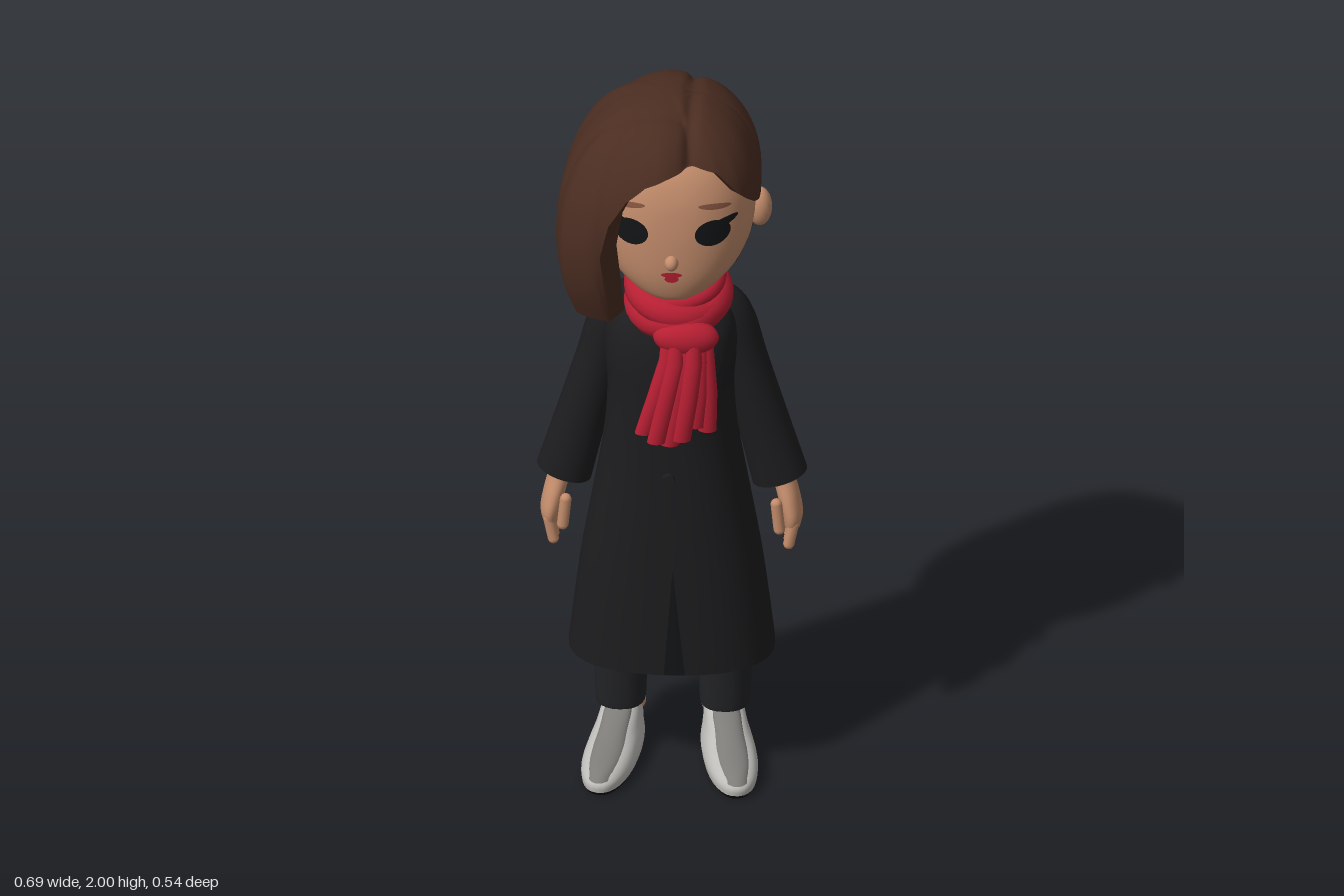
import * as THREE from 'three';

const mat = (name, color) => {
  const m = new THREE.MeshStandardMaterial({ color, side: THREE.DoubleSide });
  m.name = name;
  return m;
};
const M = {
  skin: mat('skin', 0xc48d6c), hair: mat('hairBrown', 0x4b2d21), coat: mat('coatBlack', 0x1d1d1f),
  trousers: mat('trouserCharcoal', 0x222326), scarf: mat('scarfRed', 0xb81f33), shoe: mat('shoeWhite', 0xbfbdb9),
  vamp: mat('shoeGrey', 0x7e7c79), black: mat('black', 0x121416), brow: mat('browBrown', 0x85543f),
};

// Smooths rows of numbers with a Catmull-Rom curve, k steps per span
function smooth(rows, k = 4) {
  const out = [], n = rows.length;
  const at = i => rows[Math.min(n - 1, Math.max(0, i))];
  for (let i = 0; i < n - 1; i++) for (let s = 0; s < k; s++) {
    const t = s / k, [a, b, c, d] = [at(i - 1), at(i), at(i + 1), at(i + 2)];
    out.push(b.map((v, j) => v + 0.5 * t * (c[j] - a[j] + t * (2 * a[j] - 5 * v + 4 * c[j] - d[j] + t * (3 * (v - c[j]) + d[j] - a[j])))));
  }
  out.push(rows[n - 1]);
  return out;
}

// Rows [y, halfWidth, zFront, zBack] become [y, cx, halfWidth, cz, halfDepth]
const body = (rows, cx) => smooth(rows.map(([y, w, f, b]) => [y, cx, w, (f + b) / 2, (f - b) / 2]));

function geometry(pos, idx) {
  const g = new THREE.BufferGeometry();
  g.setAttribute('position', new THREE.Float32BufferAttribute(pos, 3));
  g.setIndex(idx);
  g.computeVertexNormals();
  return g;
}

// Stacks superellipse sections [y, cx, halfWidth, cz, halfDepth, tilt] from bottom to top, with flat caps
function loft(rows, n = 24, p = 2) {
  const pos = [], idx = [], sp = v => Math.sign(v) * Math.abs(v) ** (2 / p);
  const ring = ([y, cx, w, cz, d, tilt = 0]) => {
    for (let j = 0; j < n; j++) {
      const a = (j / n) * Math.PI * 2, dx = w * sp(Math.sin(a));
      pos.push(cx + dx, y + tilt * dx, cz + d * sp(Math.cos(a)));
    }
  };
  rows.forEach(ring);
  for (let i = 0; i < rows.length - 1; i++) for (let j = 0; j < n; j++) {
    const a = i * n + j, b = i * n + (j + 1) % n;
    idx.push(a, b, b + n, a, b + n, a + n);
  }
  for (const [row, up] of [[rows[0], 0], [rows[rows.length - 1], 1]]) {
    const base = pos.length / 3;
    ring(row);
    pos.push(row[1], row[0], row[3]);
    for (let j = 0; j < n; j++) {
      const a = base + j, b = base + (j + 1) % n;
      idx.push(base + n, up ? a : b, up ? b : a);
    }
  }
  return geometry(pos, idx);
}

// Front surface height z at (x, y) of a loft
const frontOf = (rows, p) => (x, y) => {
  let i = 0;
  while (i < rows.length - 2 && rows[i + 1][0] < y) i++;
  const a = rows[i], b = rows[i + 1], t = Math.min(1, Math.max(0, (y - a[0]) / (b[0] - a[0])));
  const [, cx, w, cz, d] = a.map((v, j) => v + (b[j] - v) * t);
  return cz + d * Math.max(0, 1 - Math.abs((x - cx) / w) ** p) ** (1 / p);
};

// Thin oval laid on a surface
function oval(surf, x, y, rx, ry, rot = 0, off = 0.004) {
  const g = new THREE.RingGeometry(0.001, 1, 28, 5).scale(rx, ry, 1).rotateZ(rot).translate(x, y, 0);
  const q = g.attributes.position;
  for (let i = 0; i < q.count; i++) q.setZ(i, surf(q.getX(i), q.getY(i)) + off);
  g.computeVertexNormals();
  return g;
}

// Thin panel between two [x, y] edges laid on a surface
function panel(surf, left, right, off) {
  const L = smooth(left, 3), R = smooth(right, 3), pos = [], idx = [], c = 6;
  L.forEach((l, i) => {
    for (let j = 0; j <= c; j++) {
      const x = l[0] + (R[i][0] - l[0]) * j / c, y = l[1] + (R[i][1] - l[1]) * j / c;
      pos.push(x, y, surf(x, y) + off);
      if (i && j) { const d = i * (c + 1) + j, b = d - c - 1; idx.push(b - 1, d - 1, d, b - 1, d, b); }
    }
  });
  return geometry(pos, idx);
}

// [degrees from front towards +x, radius, lower edge height]
const HAIR = [[-180, .276, 1.46], [-162, .265, 1.46], [-140, .245, 1.46], [-116, .273, 1.46], [-90, .266, 1.44],
  [-66, .292, 1.42], [-52, .322, 1.42], [-36, .312, 1.42], [-31, .305, 1.42], [-30, .304, 1.64], [-26, .3, 1.74],
  [-18, .292, 1.81], [-8, .284, 1.85], [5, .272, 1.87], [18, .25, 1.88], [25, .24, 1.88], [38, .262, 1.86], [50, .267, 1.79],
  [65, .262, 1.735], [82, .25, 1.7], [96, .25, 1.7], [97, .25, 1.47], [119, .268, 1.46], [135, .28, 1.46],
  [154, .277, 1.46], [180, .276, 1.46]];

function hairGeometry() {
  const n = 180, rows = 32, pos = [], idx = [], low = [];
  const bump = (v, w) => Math.exp(-((v / w) ** 2));
  for (let j = 0; j <= n; j++) {
    const deg = -180 + j * 2, a = deg * Math.PI / 180;
    let k = 0;
    while (k < HAIR.length - 2 && HAIR[k + 1][0] < deg) k++;
    const A = HAIR[k], B = HAIR[k + 1], m = (deg - A[0]) / (B[0] - A[0]);
    const R = A[1] + (B[1] - A[1]) * m, yb = A[2] + (B[2] - A[2]) * m;
    const yc = 1.73 - 0.13 * Math.max(0, -Math.sin(a));
    for (let i = 0; i <= rows; i++) {
      let y = 2 - (2 - yb) * (i / rows) ** 2;
      const u = (y - yc) / (2 - yc);
      const f = u > 0 ? Math.max(0, 1 - u ** 2.2) ** (1 / 2.2) : 1 - 0.3 * ((yc - y) / 0.28) ** 2;
      let x = R * f * Math.sin(a), z = R * f * Math.cos(a);
      // parting groove and fringe crease
      let s = 1 - 0.045 * bump(x - 0.075, 0.015);
      if (x < 0.06) s -= 0.025 * bump(z - 0.11, 0.016) * Math.min(1, Math.max(0, (y - 1.7) / 0.15));
      y = i === rows ? y : 1.7 + (y - 1.7) * s;
      pos.push(x * s - 0.02, y, z * s);
    }
    // rim turning inwards under the edge
    const e = pos.length - 3, q = yb < 1.5 && Math.abs(deg) > 60 ? 0.5 : 0.74;
    low.push(yb < 1.5);
    pos.push(pos[e], pos[e + 1], pos[e + 2], (pos[e] + 0.02) * q - 0.02, yb + 0.004, pos[e + 2] * q);
  }
  const w = rows + 3, rim = [[], []];
  for (let j = 0; j < n; j++) {
    for (let i = 0; i < rows; i++) {
      const a = j * w + i, b = a + w;
      idx.push(a, a + 1, b + 1, a, b + 1, b);
    }
    const a = j * w + rows + 1, b = a + w;
    rim[low[j] && low[j + 1] ? 1 : 0].push(a, a + 1, b + 1, a, b + 1, b);
  }
  const g = geometry(pos, [...idx, ...rim[0], ...rim[1]]);
  g.addGroup(0, idx.length + rim[0].length, 0);
  g.addGroup(idx.length + rim[0].length, rim[1].length, 1);
  return g;
}

export function createModel() {
  const root = new THREE.Group();
  root.name = 'figure';
  const add = (name, geo, material, parent = root) => {
    const m = new THREE.Mesh(geo, material);
    m.name = name;
    parent.add(m);
    return m;
  };
  const ball = (x, y, z, rx, ry, rz) => new THREE.SphereGeometry(1, 20, 14).scale(rx, ry, rz).translate(x, y, z);

  // Head and face
  const headRows = body([[1.46, .03, .15, .06], [1.475, .07, .18, .02], [1.5, .115, .195, -.03], [1.55, .165, .208, -.1],
    [1.62, .198, .214, -.15], [1.7, .207, .214, -.17], [1.78, .2, .205, -.17], [1.85, .17, .178, -.15],
    [1.9, .12, .125, -.1], [1.93, .03, .04, -.03]], 0.01);
  const face = frontOf(headRows, 2.2);
  add('head', loft(headRows, 48, 2.2), M.skin);
  add('neck', new THREE.CylinderGeometry(0.06, 0.07, 0.16, 20).translate(0.01, 1.43, 0), M.skin);
  add('nose', ball(0.01, 1.605, 0.212, 0.018, 0.022, 0.022), M.skin);
  add('upperLip', oval(face, 0.01, 1.569, 0.027, 0.008), M.scarf);
  add('lowerLip', oval(face, 0.01, 1.556, 0.018, 0.011), M.scarf);
  for (const s of [-1, 1]) {
    const x = 0.01 + s * 0.105;
    add('eye', oval(face, x, 1.688, 0.045, 0.037), M.black);
    add('lashes', oval(face, x + s * 0.022, 1.712, 0.042, 0.012, s * 0.25, 0.006), M.black);
    add('eyebrow', oval(face, x + s * 0.005, 1.762, 0.042, 0.008, -s * 0.15), M.brow);
    add('ear', ball(0.01 + s * 0.215, 1.64, -0.025, 0.032, 0.055, 0.032), M.skin);
  }
  add('hair', hairGeometry(), [M.hair, M.scarf]);

  // Coat with lapels, front edge, slit, pockets and button
  const coatRows = body([[.34, .265, .16, -.203], [.6, .235, .16, -.172], [.8, .203, .16, -.152], [1, .172, .16, -.12],
    [1.15, .163, .163, -.112], [1.25, .17, .163, -.116], [1.33, .168, .15, -.115], [1.38, .145, .125, -.102],
    [1.42, .1, .09, -.085], [1.44, .07, .06, -.07]], 0);
  const chest = frontOf(coatRows, 2.4);
  add('coat', loft(coatRows, 48, 2.4), M.coat);
  for (const s of [-1, 1]) {
    const flip = pts => pts.map(([x, y]) => [x * s, y]);
    add('lapel', panel(chest, flip([[.03, 1.08], [.05, 1.2], [.06, 1.3], [.06, 1.36]]),
      flip([[.035, 1.08], [.105, 1.2], [.14, 1.28], [.1, 1.33]]), 0.009), M.coat);
    add('collar', panel(chest, flip([[.05, 1.31], [.05, 1.36], [.05, 1.4]]),
      flip([[.12, 1.325], [.14, 1.345], [.09, 1.4]]), 0.009), M.coat);
    add('pocketFlap', panel(chest, flip([[.08, .86], [.08, .885]]), flip([[.16, .88], [.16, .905]]), 0.007), M.coat);
  }
  add('frontFlap', panel(chest, [[-.1, .345], [-.09, .65], [-.07, 1], [-.05, 1.2]],
    [[-.012, .345], [.01, .65], [.04, 1], [.04, 1.2]], 0.006), M.coat);
  add('frontSlit', panel(chest, [[-.012, .343], [.009, .65]], [[.042, .343], [.011, .65]], 0.004), M.black);
  add('button', new THREE.CylinderGeometry(0.017, 0.017, 0.014, 18).rotateX(Math.PI / 2).translate(0, 0.93, 0.172), M.coat);

  // Scarf wraps and hanging pleats
  const wraps = [[1.405, .098, .045, .16, .16], [1.435, .1, .042, .2, -.16], [1.468, .098, .026, .22, .05]];
  for (const [y, R, tube, tx, tz] of wraps) {
    const wrap = add('scarfWrap', new THREE.TorusGeometry(R, tube, 14, 40).rotateX(Math.PI / 2).scale(1, 1.05, 1.02), M.scarf);
    wrap.position.set(0.02, y, 0.045);
    wrap.rotation.set(tx, 0, tz);
  }
  add('scarfKnot', ball(0.045, 1.36, 0.17, 0.085, 0.05, 0.042), M.scarf);
  // each pleat: top x, bottom x, bottom y, z
  const pleats = [[0, -.062, 1.08, .186], [.02, -.03, 1.06, .198], [.045, .005, 1.05, .19], [.065, .035, 1.07, .2],
    [.08, .07, 1.1, .18], [.095, .1, 1.085, .172]];
  for (const [xt, xb, y, z] of pleats) {
    add('scarfPleat', loft([[y, xb, .024, z, .017], [1.2, (xt + xb) / 2 + .004, .025, z + .004, .02],
      [1.3, xt, .024, z, .02], [1.37, xt, .018, z - .01, .016]], 14), M.scarf);
  }

  for (const s of [-1, 1]) {
    const side = s > 0 ? 'left' : 'right';
    // Sleeve
    add(side + 'Sleeve', loft(smooth([[.842, s * .277, .07, -.022, .062, s * .3], [1, s * .235, .066, -.022, .061, s * .2],
      [1.2, s * .182, .063, -.022, .064, 0], [1.32, s * .153, .06, -.02, .066, 0], [1.38, s * .132, .045, -.018, .052, 0],
      [1.405, s * .115, .015, -.018, .025, 0]]), 28), M.coat);

    // Hand
    const hand = new THREE.Group();
    hand.name = side + 'Hand';
    root.add(hand);
    add('palm', loft(smooth([[.705, s * .31, .021, -.012, .05], [.74, s * .31, .027, -.01, .056], [.79, s * .3, .029, -.012, .048],
      [.84, s * .288, .029, -.018, .035], [.88, s * .28, .029, -.02, .033]]), 20), M.skin, hand);
    const digit = (name, x, y, z, r, len, tilt) => {
      const d = add(name, new THREE.CapsuleGeometry(r, len, 5, 10), M.skin, hand);
      d.position.set(s * x, y, z);
      d.rotation.z = -s * tilt;
    };
    for (let i = 0; i < 4; i++) digit('finger', 0.308, 0.693 + (i === 0 ? 0.012 : 0), -0.05 + i * 0.026, 0.0145, 0.06, 0.2);
    digit('thumb', 0.274, 0.745, 0.03, 0.015, 0.075, -0.1);

    // Leg and ankle
    add(side + 'TrouserLeg', loft(smooth([[.14, s * .134, .063, -.074, .074], [.16, s * .134, .066, -.074, .077],
      [.34, s * .132, .07, -.068, .083], [.6, s * .115, .08, -.03, .09]]), 24, 2.3), M.trousers);
    add(side + 'Sock', loft([[.08, s * .135, .048, -.085, .056], [.16, s * .134, .052, -.08, .06]]), M.black);

    // Shoe, toe turned out
    const shoe = new THREE.Group();
    shoe.name = side + 'Shoe';
    shoe.position.set(s * 0.13, 0, -0.09);
    shoe.rotation.y = s * 0.17;
    root.add(shoe);
    const upper = [[.012, 0, .066, .115, .187], [.035, 0, .069, .112, .189], [.056, 0, .064, .095, .17],
      [.08, 0, .056, .045, .122], [.105, 0, .051, .012, .086], [.125, 0, .046, -.008, .062]];
    add('sole', loft([[0, 0, .06, .115, .178], upper[0]], 32, 2.3), M.black, shoe);
    add('upper', loft(smooth(upper), 32, 2.3), M.shoe, shoe);
    add('vamp', loft(smooth(upper.slice(1).map(([y, , w, cz, d]) =>
      [y + .006, 0, w * .72, (cz + d + .01) / 2, (cz + d - .01) / 2 + .004])), 28, 2.1), M.vamp, shoe);
    for (const k of [-1, 1]) add('anklePatch', ball(k * 0.042, 0.102, -0.025, 0.013, 0.016, 0.03), M.skin, shoe);
  }
  return root;
}
